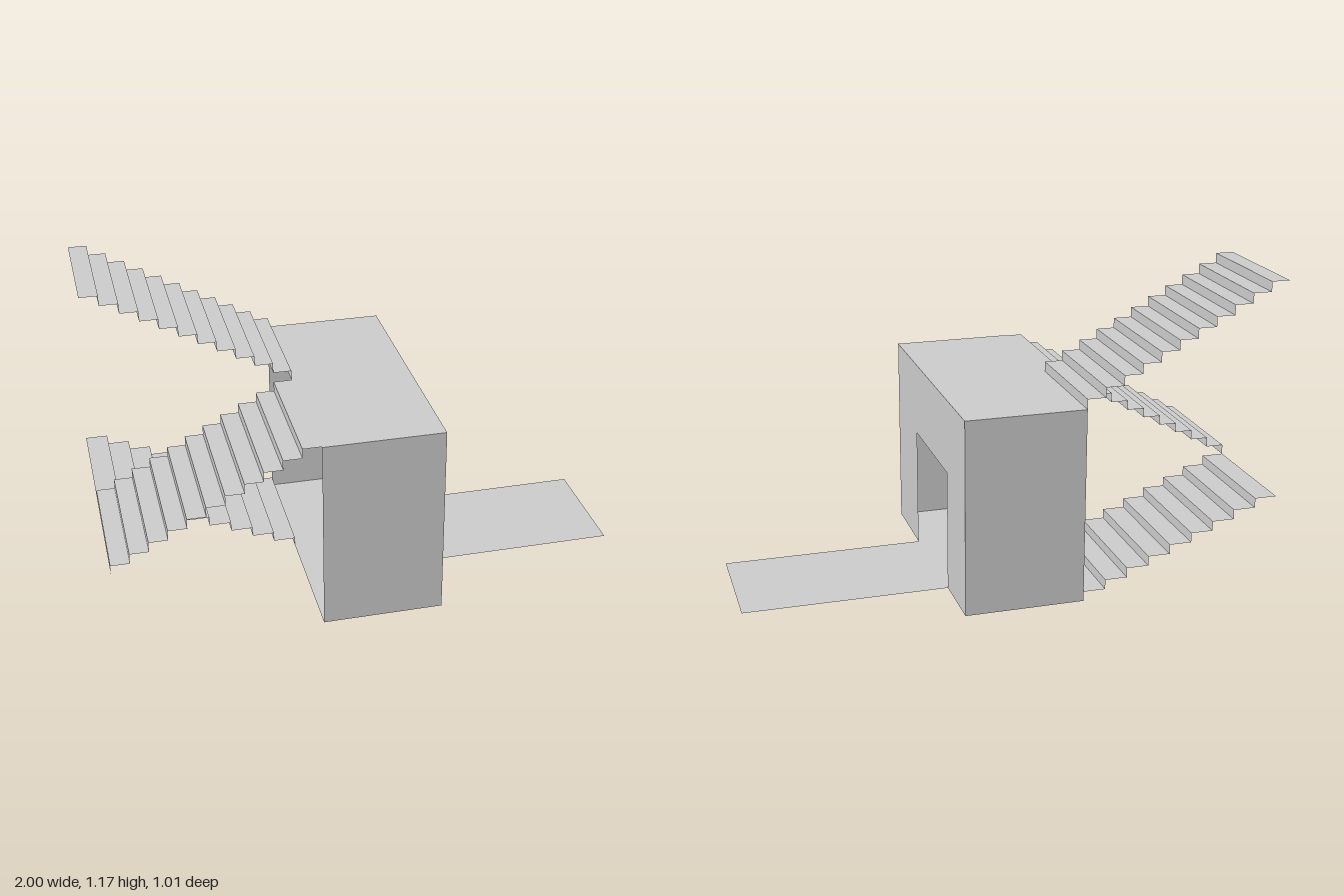
import * as THREE from 'three';

const material = new THREE.MeshStandardMaterial({
  color: 0xcccccc, flatShading: true, side: THREE.DoubleSide,
});

// Main dimensions
const BACK = -0.51, FRONT = 0.505, MID = -0.025;
const OPEN_X = -0.235, DOOR_X = 0.22, FAR_X = -1, ROOF = 0.75;

// Thin folded sheet: an (x, y) polyline swept from z0 to z1
function foldedSheet(name, points, z0, z1) {
  const pos = [];
  for (let i = 0; i < points.length - 1; i++) {
    const [ax, ay] = points[i], [bx, by] = points[i + 1];
    pos.push(ax, ay, z0, ax, ay, z1, bx, by, z1);
    pos.push(ax, ay, z0, bx, by, z1, bx, by, z0);
  }
  const geometry = new THREE.BufferGeometry();
  geometry.setAttribute('position', new THREE.Float32BufferAttribute(pos, 3));
  geometry.computeVertexNormals();
  const mesh = new THREE.Mesh(geometry, material);
  mesh.name = name;
  return mesh;
}

// Flight of risers and treads climbing from (x0, y0) to (x1, y1)
function stairFlight(name, x0, y0, x1, y1, steps, z0, z1) {
  const points = [[x0, y0]];
  for (let i = 1; i <= steps; i++) {
    const y = y0 + (y1 - y0) * i / steps;
    points.push([x0 + (x1 - x0) * (i - 1) / steps, y]);
    points.push([x0 + (x1 - x0) * i / steps, y]);
  }
  return foldedSheet(name, points, z0, z1);
}

// Solid end wall in the xy plane
function endWall(name, z) {
  const geometry = new THREE.PlaneGeometry(DOOR_X - OPEN_X, ROOF);
  if (z < 0) geometry.rotateY(Math.PI);
  geometry.translate((OPEN_X + DOOR_X) / 2, ROOF / 2, z);
  const mesh = new THREE.Mesh(geometry, material);
  mesh.name = name;
  return mesh;
}

export function createModel() {
  const model = new THREE.Group();
  model.name = 'stairHouse';

  // Room shell, open on the stair side
  model.add(foldedSheet('floor', [[OPEN_X, 0], [DOOR_X, 0]], BACK, FRONT));
  model.add(foldedSheet('roof', [[OPEN_X, ROOF], [DOOR_X, ROOF]], BACK, FRONT));
  model.add(endWall('frontWall', FRONT), endWall('backWall', BACK));

  // Wall with doorway, drawn in (-z, y) and turned to face +x
  const outline = [
    [-FRONT, 0], [-0.2, 0], [-0.2, 0.467], [0.26, 0.467],
    [0.26, 0], [-BACK, 0], [-BACK, ROOF], [-FRONT, ROOF],
  ].map(([x, y]) => new THREE.Vector2(x, y));
  const doorGeometry = new THREE.ShapeGeometry(new THREE.Shape(outline));
  doorGeometry.rotateY(Math.PI / 2).translate(DOOR_X, 0, 0);
  const doorWall = new THREE.Mesh(doorGeometry, material);
  doorWall.name = 'doorWall';
  model.add(doorWall);

  // Path leading out through the doorway
  model.add(foldedSheet('entrancePath', [[DOOR_X, 0], [1, 0]], -0.26, 0.2));

  // Stairs: out from the floor, back up to the roof, then out again above
  model.add(stairFlight('lowerStairs', OPEN_X, 0, FAR_X, 0.333, 9, BACK, MID));
  model.add(stairFlight('middleStairs', FAR_X, 0.333, OPEN_X, ROOF, 11, MID, 0.5));
  model.add(stairFlight('upperStairs', OPEN_X, ROOF, FAR_X, 1.17, 11, BACK, MID));

  return model;
}
